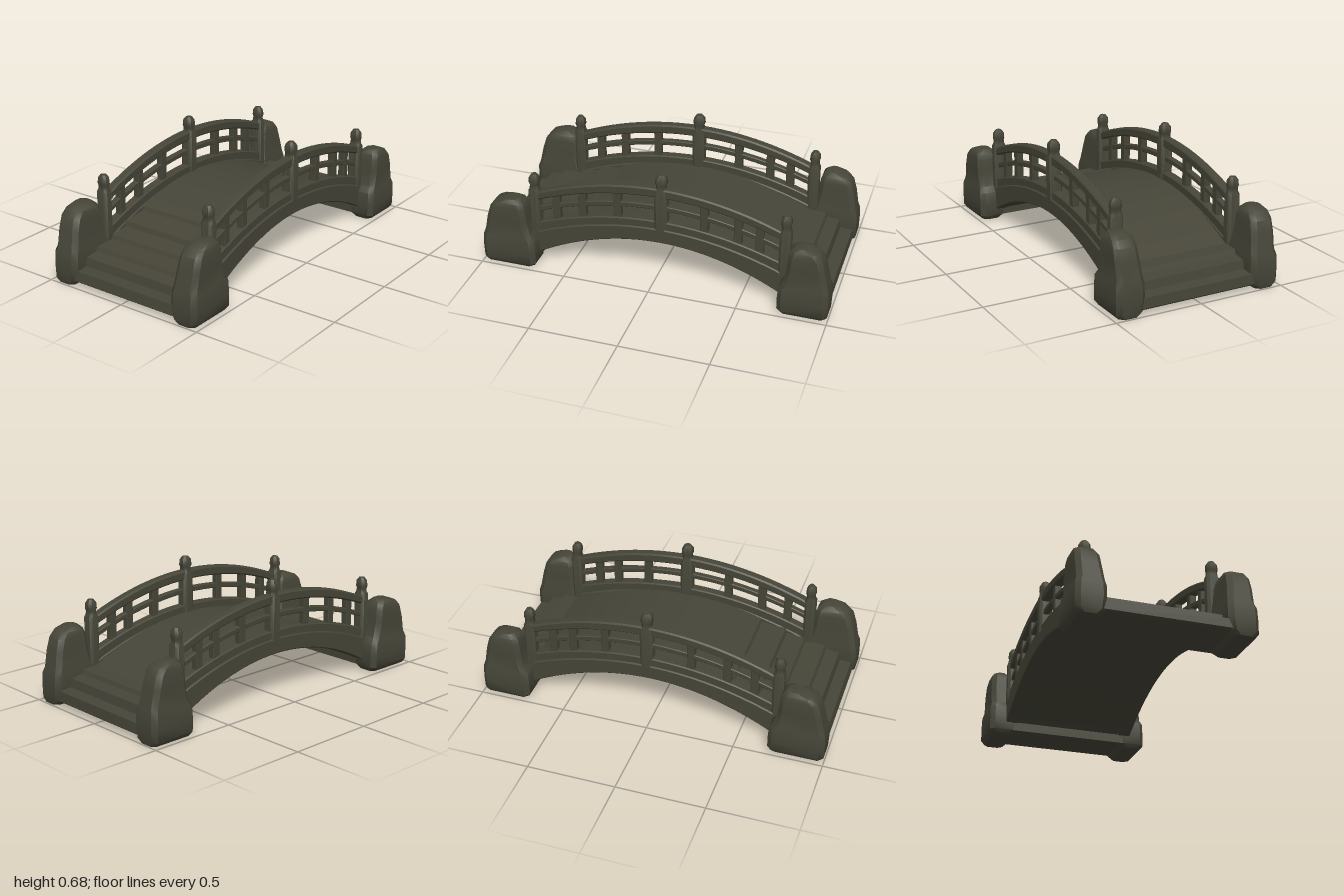
import * as THREE from 'three';
import { toCreasedNormals } from 'three/addons/utils/BufferGeometryUtils.js';

const stone = new THREE.MeshStandardMaterial({ color: 0x464538 });
stone.name = 'dark mossy stone';

const CENTRE = 0.025;
// Height of an arched line: crown height minus a parabolic drop reached 0.7 from the centre
const arch = (crown, drop) => (x) => crown - drop * ((x - CENTRE) / 0.7) ** 2;

function addMesh(parent, name, geometry, crease = 0.6) {
  const mesh = new THREE.Mesh(toCreasedNormals(geometry, crease), stone);
  mesh.name = name;
  parent.add(mesh);
  return mesh;
}

// Side profile in x and y, extruded from z0 to z1 with a small worn edge
function extrude(points, z0, z1, bevel = 0) {
  const shape = new THREE.Shape(points.map(([x, y]) => new THREE.Vector2(x, y)));
  const g = new THREE.ExtrudeGeometry(shape, {
    depth: z1 - z0 - 2 * bevel, bevelEnabled: bevel > 0, bevelSegments: 1,
    bevelSize: bevel, bevelThickness: bevel, bevelOffset: -bevel,
  });
  return g.translate(0, 0, z0 + bevel);
}

function curvePoints(f, x0, x1, n = 28) {
  return Array.from({ length: n + 1 }, (_, i) => {
    const x = x0 + (x1 - x0) * i / n;
    return [x, f(x)];
  });
}

// Curved beam between two arched lines
function beam(low, high, x0, x1, z0, z1, bevel) {
  return extrude([...curvePoints(low, x0, x1), ...curvePoints(high, x1, x0)], z0, z1, bevel);
}

// Solid from stacked chamfered rectangles: [y, x0, x1, z0, z1]
function stack(levels, chamfer) {
  const pos = [], index = [];
  for (const [y, x0, x1, z0, z1] of levels) {
    const c = Math.min(chamfer, (x1 - x0) / 3, (z1 - z0) / 3);
    for (const [x, z] of [
      [x0 + c, z1], [x1 - c, z1], [x1, z1 - c], [x1, z0 + c],
      [x1 - c, z0], [x0 + c, z0], [x0, z0 + c], [x0, z1 - c],
    ]) pos.push(x, y, z);
  }
  const top = (levels.length - 1) * 8;
  for (let r = 0; r < top; r += 8) {
    for (let i = 0; i < 8; i++) {
      const a = r + i, b = r + (i + 1) % 8;
      index.push(a, b, b + 8, a, b + 8, a + 8);
    }
  }
  for (let i = 1; i < 7; i++) {
    index.push(0, i + 1, i, top, top + i, top + i + 1);
  }
  const g = new THREE.BufferGeometry();
  g.setAttribute('position', new THREE.Float32BufferAttribute(pos, 3));
  g.setIndex(index);
  return g;
}

// Post with a shoulder and a blunt cap
function post(x, y0, y1, w) {
  const z = 0.357, d = 0.037;
  const rows = [
    [y0, 1, 1], [y1 - 0.1, 1, 1], [y1 - 0.085, 0.78, 0.85],
    [y1 - 0.065, 0.72, 0.8], [y1 - 0.05, 0.9, 0.85], [y1 - 0.02, 0.85, 0.8], [y1, 0.5, 0.45],
  ];
  return stack(rows.map(([y, a, b]) => [y, x - w * a, x + w * a, z - d * b, z + d * b]), 0.014);
}

function railing() {
  const g = new THREE.Group();
  const X0 = -0.71, X1 = 0.74;
  const under = arch(0.268, 0.195), seam = arch(0.355, 0.145), curbTop = arch(0.4, 0.135);
  const midLow = arch(0.467, 0.135), midTop = arch(0.497, 0.135);
  const railLow = arch(0.55, 0.14), railTop = arch(0.605, 0.145);

  addMesh(g, 'archFascia', beam(under, seam, X0, X1, 0.32, 0.394, 0.006));
  addMesh(g, 'curb', beam((x) => seam(x) - 0.015, curbTop, X0, X1, 0.328, 0.384, 0.006));
  addMesh(g, 'middleRail', beam(midLow, midTop, X0, X1, 0.34, 0.376, 0.004));
  addMesh(g, 'topRail', beam(railLow, railTop, X0, X1, 0.33, 0.386, 0.008));

  // Short uprights between the rails
  for (const x of [-0.575, -0.42, -0.215, 0.28, 0.47, 0.59]) {
    const w = 0.022;
    addMesh(g, 'baluster', beam((t) => curbTop(t) - 0.01, (t) => railLow(t) + 0.01,
      x - w, x + w, 0.338, 0.378, 0.004));
  }

  addMesh(g, 'middlePost', post(0.037, 0.31, 0.685, 0.036));
  addMesh(g, 'rightPost', post(-0.706, 0.1, 0.56, 0.031));
  addMesh(g, 'leftPost', post(0.73, 0.1, 0.56, 0.031));
  return g;
}

// Rough end stone: broad foot, waist and tapering crown; u runs inward from the outer end
function endStone(side, width) {
  const rows = [
    [0.005, 0.03, 0.95, 0.355, 0.468],
    [0.03, 0.005, 1, 0.33, 0.487],
    [0.1, 0, 1, 0.322, 0.488],
    [0.175, 0.01, 0.985, 0.322, 0.486],
    [0.21, 0.05, 0.9, 0.328, 0.476],
    [0.3, 0.11, 0.85, 0.338, 0.478],
    [0.37, 0.18, 0.83, 0.343, 0.476],
    [0.405, 0.28, 0.79, 0.35, 0.47],
    [0.427, 0.45, 0.72, 0.375, 0.455],
  ];
  return stack(rows.map(([y, u0, u1, z0, z1]) => {
    const a = side * (0.998 - u0 * width), b = side * (0.998 - u1 * width);
    return [y, Math.min(a, b), Math.max(a, b), z0, z1];
  }), 0.025);
}

export function createModel() {
  const model = new THREE.Group();
  model.name = 'archedBridge';

  // Walkway with end steps, deck crown and hollow underside in one profile
  const deckTop = arch(0.358, 0.165), deckUnder = arch(0.272, 0.195);
  const profile = [
    [0.72, 0.028], [0.97, 0.028], [0.985, 0.04], [0.98, 0.095], [0.91, 0.102],
    [0.9, 0.15], [0.83, 0.16], [0.82, 0.183], [0.735, 0.188],
    ...curvePoints(deckTop, 0.725, -0.425),
    [-0.435, 0.268], [-0.575, 0.25], [-0.585, 0.222], [-0.69, 0.208],
    [-0.7, 0.186], [-0.815, 0.183], [-0.825, 0.16], [-0.9, 0.15],
    [-0.91, 0.102], [-0.975, 0.095], [-0.985, 0.04], [-0.97, 0.028], [-0.69, 0.028],
    ...curvePoints(deckUnder, -0.69, 0.72),
  ];
  addMesh(model, 'steppedDeck', extrude(profile, -0.36, 0.36), 0.4);

  // Matching railings; the back one is the front one flipped in z
  for (const side of [1, -1]) {
    const rail = railing();
    rail.name = side > 0 ? 'frontRailing' : 'backRailing';
    rail.scale.z = side;
    model.add(rail);

    for (const [end, width, name] of [[-1, 0.315, 'rightEndStone'], [1, 0.28, 'leftEndStone']]) {
      addMesh(model, name, endStone(end, width), 0.7).scale.z = side;
    }
  }
  return model;
}
